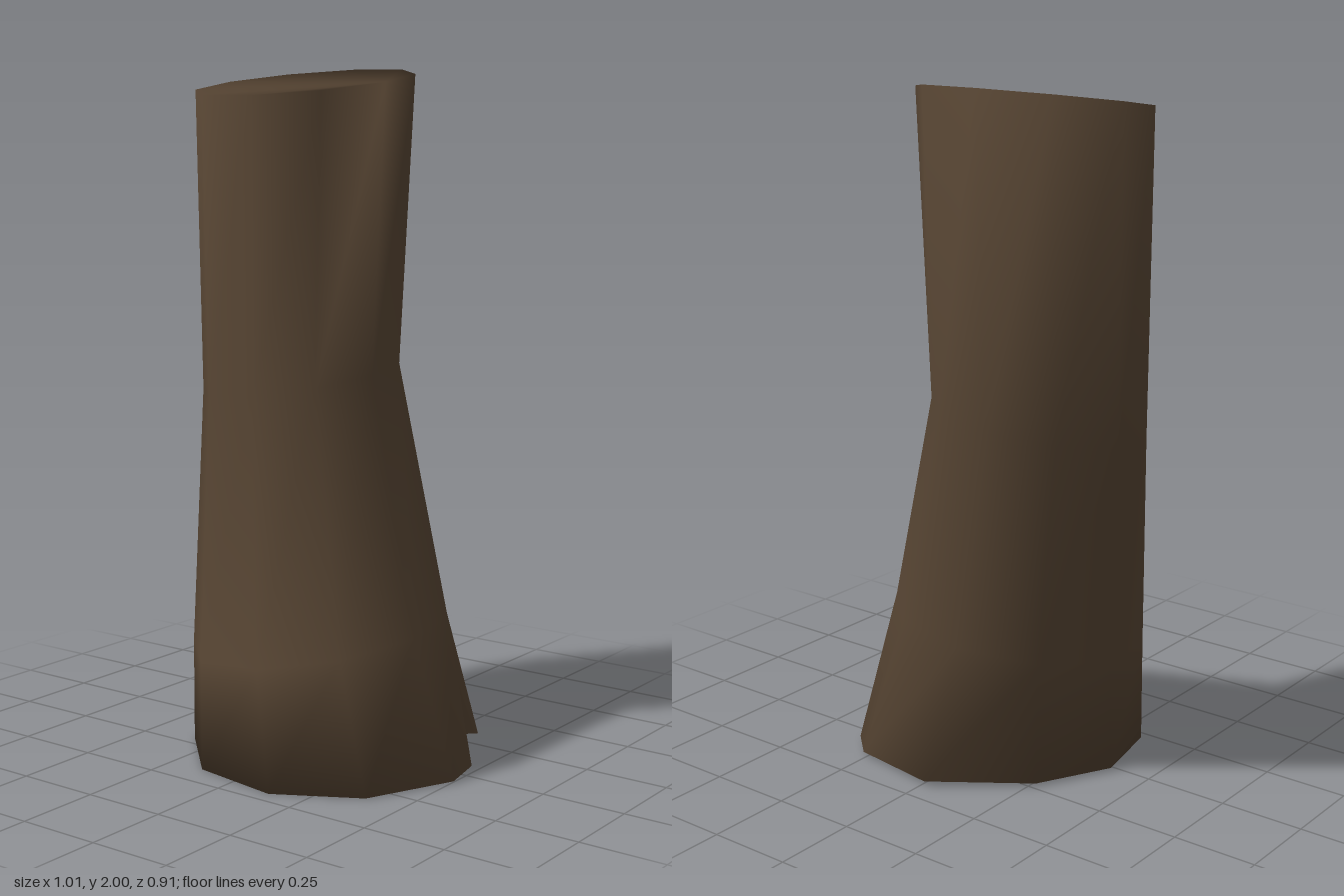
import * as THREE from 'three';

const SIDES = 10;

// One tilted ten-sided cross-section: centre, radius, and slope of its plane
function ring(cx, cy, cz, r, slopeX, slopeZ) {
  return Array.from({ length: SIDES }, (_, i) => {
    const a = THREE.MathUtils.degToRad(8.5 + 36 * i);
    const dx = r * Math.cos(a), dz = r * Math.sin(a);
    return [cx + dx, cy + slopeX * dx + slopeZ * dz, cz + dz];
  });
}

export function createModel() {
  const group = new THREE.Group();
  group.name = 'treeStump';
  const bark = new THREE.MeshStandardMaterial({ color: 0x574533, side: THREE.DoubleSide });
  bark.name = 'barkBrown';

  // Bent trunk cross-sections, from the flare up to the cut top
  const rings = [
    ring(0.01, 0.368, 0.045, 0.378, 0.11, -0.11),
    ring(-0.21, 1.075, -0.155, 0.303, 0.11, -0.11),
    ring(-0.155, 1.955, -0.105, 0.328, 0, -0.14),
  ];

  // Foot outline (x, z), with a root and a notch at the back left
  const foot = [
    [0.505, 0.075], [0.38, 0.325], [0.14, 0.452], [-0.135, 0.41], [-0.33, 0.215], [-0.38, -0.02],
    [-0.27, -0.24], [-0.01, -0.43], [0.26, -0.39], [0.345, -0.31], [0.22, -0.19], [0.48, -0.06],
  ].map(([x, z]) => [x, 0.007 - 0.015 * z, z]);

  const positions = [...rings.flat(), ...foot].flat();
  const index = [];
  const at = (level, i) => level * SIDES + (i % SIDES);
  const base = (i) => 3 * SIDES + (i % foot.length);
  const quad = (l0, l1, u0, u1) => index.push(l1, l0, u0, l1, u0, u1);

  // Trunk walls
  for (let level = 0; level < 2; level++)
    for (let i = 0; i < SIDES; i++)
      quad(at(level, i), at(level, i + 1), at(level + 1, i), at(level + 1, i + 1));

  // Flared foot, the folded notch, and the wall that closes the loop
  for (let i = 0; i < SIDES - 1; i++) quad(base(i), base(i + 1), at(0, i), at(0, i + 1));
  for (const i of [9, 10]) index.push(base(i + 1), base(i), at(0, 9));
  quad(base(11), base(0), at(0, 9), at(0, 0));

  // Cut top and underside
  for (let i = 1; i < SIDES - 1; i++) index.push(at(2, 0), at(2, i + 1), at(2, i));
  for (let i = 1; i < foot.length - 1; i++) index.push(base(10), base(10 + i), base(11 + i));

  const geometry = new THREE.BufferGeometry();
  geometry.setAttribute('position', new THREE.Float32BufferAttribute(positions, 3));
  geometry.setIndex(index);
  geometry.computeVertexNormals();

  const trunk = new THREE.Mesh(geometry, bark);
  trunk.name = 'trunk';
  group.add(trunk);
  return group;
}
